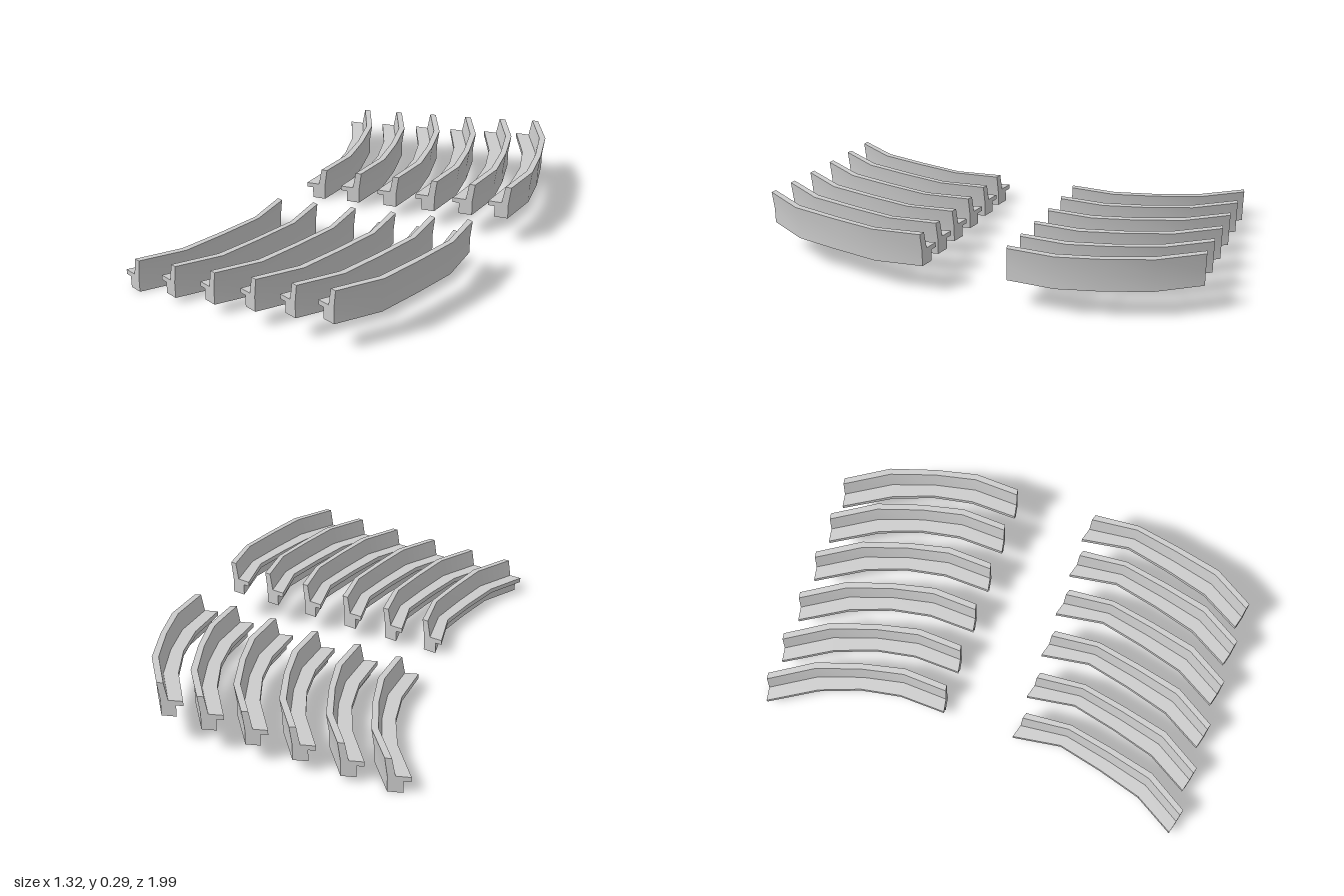
import * as THREE from 'three';
import { toCreasedNormals } from 'three/addons/utils/BufferGeometryUtils.js';

// Bench cross-section, counter-clockwise: [fraction from seat edge to back, height]
const PROFILE = [
  [0.29, 0], [0.89, 0], [0.89, 0.07], [1, 0.155],
  [0.73, 0.155], [0.59, 0.075], [0, 0.075], [0, 0.053], [0.29, 0.053],
];

// Stations along each bench, by rising z: [seat edge x, z, back x, z]
const FRONT_PATH = [
  [-0.447, 0.158, -0.343, 0.187],
  [-0.414, 0.380, -0.328, 0.400],
  [-0.463, 0.585, -0.370, 0.605],
  [-0.523, 0.787, -0.420, 0.812],
  [-0.632, 0.967, -0.535, 0.993],
];
const REAR_PATH = [
  [-0.664, -0.978, -0.558, -1.0],
  [-0.537, -0.770, -0.437, -0.812],
  [-0.468, -0.585, -0.371, -0.605],
  [-0.435, -0.400, -0.328, -0.412],
  [-0.442, -0.182, -0.339, -0.202],
];

// Offset of each tier: [x, y]
const TIERS = [[0, 0], [0.196, 0.027], [0.402, 0.055], [0.608, 0.083], [0.804, 0.112], [0.985, 0.14]];

// Sweep the cross-section through the stations and close both ends
function benchGeometry(path) {
  const n = PROFILE.length;
  const positions = [];
  const index = [];
  for (const [x0, z0, x1, z1] of path) {
    for (const [u, y] of PROFILE) positions.push(x0 + (x1 - x0) * u, y, z0 + (z1 - z0) * u);
  }
  for (let s = 0; s < path.length - 1; s++) {
    for (let i = 0; i < n; i++) {
      const a = s * n + i;
      const b = s * n + (i + 1) % n;
      index.push(a, b, b + n, a, b + n, a + n);
    }
  }
  const caps = THREE.ShapeUtils.triangulateShape(PROFILE.map(([u, y]) => new THREE.Vector2(u, y)), []);
  const last = (path.length - 1) * n;
  for (const [a, b, c] of caps) {
    index.push(c, b, a, last + a, last + b, last + c);
  }
  const geometry = new THREE.BufferGeometry();
  geometry.setAttribute('position', new THREE.Float32BufferAttribute(positions, 3));
  geometry.setIndex(index);
  return toCreasedNormals(geometry, 0.45);
}

export function createModel() {
  const model = new THREE.Group();
  model.name = 'tieredBenches';
  const material = new THREE.MeshStandardMaterial({ color: 0xcccccc });

  // Two banks of curved benches, each rising toward +x
  for (const [name, path] of [['front', FRONT_PATH], ['rear', REAR_PATH]]) {
    const bank = new THREE.Group();
    bank.name = `${name}Bank`;
    const geometry = benchGeometry(path);
    TIERS.forEach(([x, y], i) => {
      const bench = new THREE.Mesh(geometry, material);
      bench.name = `${name}Bench${i + 1}`;
      bench.position.set(x, y, 0);
      bank.add(bench);
    });
    model.add(bank);
  }
  return model;
}
